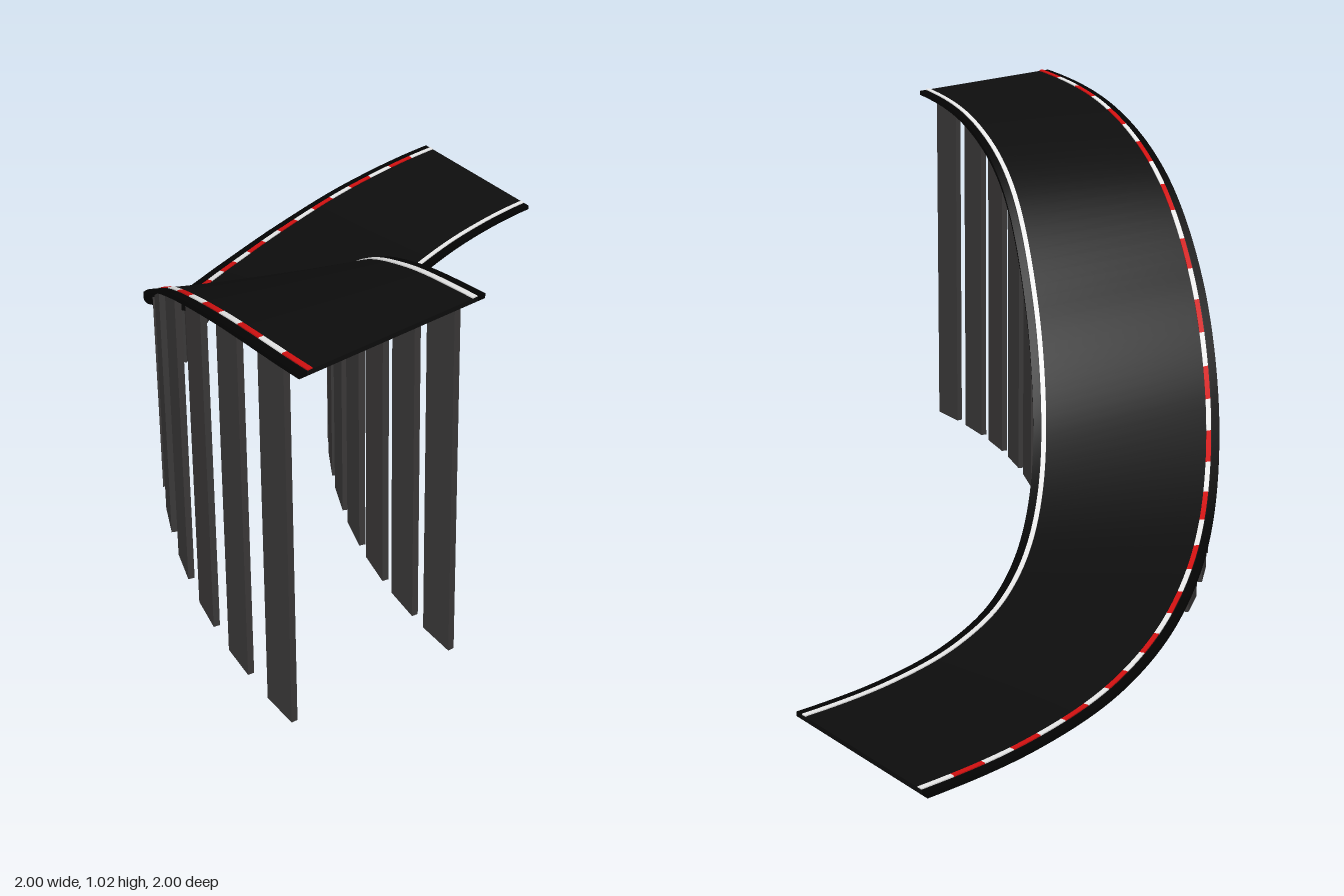
import * as THREE from 'three';

const mat = (name, color) => new THREE.MeshStandardMaterial({ name, color });

// Edge heights at every 10 degrees of the quarter turn
const heightCurve = (ys) => new THREE.SplineCurve(ys.map((y, i) => new THREE.Vector2(i, y)));
const outerHeights = heightCurve([1.02, 0.97, 0.84, 0.625, 0.38, 0.185, 0.08, 0.03, 0.018, 0.02]);
const innerHeights = heightCurve([1.02, 0.965, 0.825, 0.55, 0.275, 0.115, 0.035, 0.013, 0.014, 0.02]);
const INNER = 1.5, OUTER = 2, QUARTER = Math.PI / 2;

// Height of the banked road surface at a radius and angle
function surface(r, a) {
  const t = THREE.MathUtils.clamp(a / QUARTER, 0, 1);
  const k = (r - INNER) / (OUTER - INNER);
  return THREE.MathUtils.lerp(innerHeights.getPoint(t).y, outerHeights.getPoint(t).y, k);
}

// Box bent around the corner centre; top and bottom heights come from functions of (r, a)
function bentBox(name, material, r0, r1, a0, a1, segments, top, bottom) {
  const geo = new THREE.BoxGeometry(1, 1, 1, 1, 1, segments);
  const p = geo.attributes.position;
  for (let i = 0; i < p.count; i++) {
    const r = THREE.MathUtils.lerp(r0, r1, p.getX(i) + 0.5);
    const a = THREE.MathUtils.lerp(a0, a1, p.getZ(i) + 0.5);
    const y = p.getY(i) > 0 ? top(r, a) : bottom(r, a);
    p.setXYZ(i, 1 - r * Math.cos(a), y, 1 - r * Math.sin(a));
  }
  geo.computeVertexNormals();
  const mesh = new THREE.Mesh(geo, material);
  mesh.name = name;
  return mesh;
}

export function createModel() {
  const model = new THREE.Group();
  model.name = 'curvedRamp';
  const asphalt = mat('asphalt', 0x0d0d0d);
  const edgeBlack = mat('edgeBlack', 0x030303);
  const white = mat('lineWhite', 0xe6e6e6);
  const red = mat('kerbRed', 0xd01010);
  const steel = mat('darkSteel', 0x3a3838);

  const under = (r, a) => surface(r, a) - 0.012;
  const paint = (r, a) => surface(r, a) + 0.003;

  // Road deck and its darker borders
  model.add(bentBox('roadDeck', asphalt, INNER + 0.02, OUTER - 0.02, 0, QUARTER, 96, surface, under));
  model.add(bentBox('innerBorder', edgeBlack, INNER, INNER + 0.02, 0, QUARTER, 96, surface, under));
  model.add(bentBox('outerBorder', edgeBlack, OUTER - 0.02, OUTER, 0, QUARTER, 96, surface, under));

  // Solid white line along the inside
  model.add(bentBox('innerLine', white, 1.522, 1.535, 0, QUARTER, 96, paint, surface));

  // Alternating red and white dashes along the outside
  const dashes = new THREE.Group();
  dashes.name = 'outerDashes';
  const count = 34, step = QUARTER / count;
  for (let i = 0; i < count; i++) {
    dashes.add(bentBox('dash', i % 2 ? white : red, 1.965, 1.978, i * step, (i + 1) * step, 4, paint, surface));
  }
  model.add(dashes);

  // Thin support slats under both edges
  const supports = new THREE.Group();
  supports.name = 'supports';
  const ground = () => 0.01;
  for (const [r, n] of [[1.53, 9], [1.97, 10]]) {
    for (let i = 0; i < n; i++) {
      const a = THREE.MathUtils.degToRad(4 + 5.65 * i), half = 0.051 / r;
      supports.add(bentBox('supportSlat', steel, r - 0.008, r + 0.008, a - half, a + half, 1, under, ground));
    }
  }
  model.add(supports);
  return model;
}
